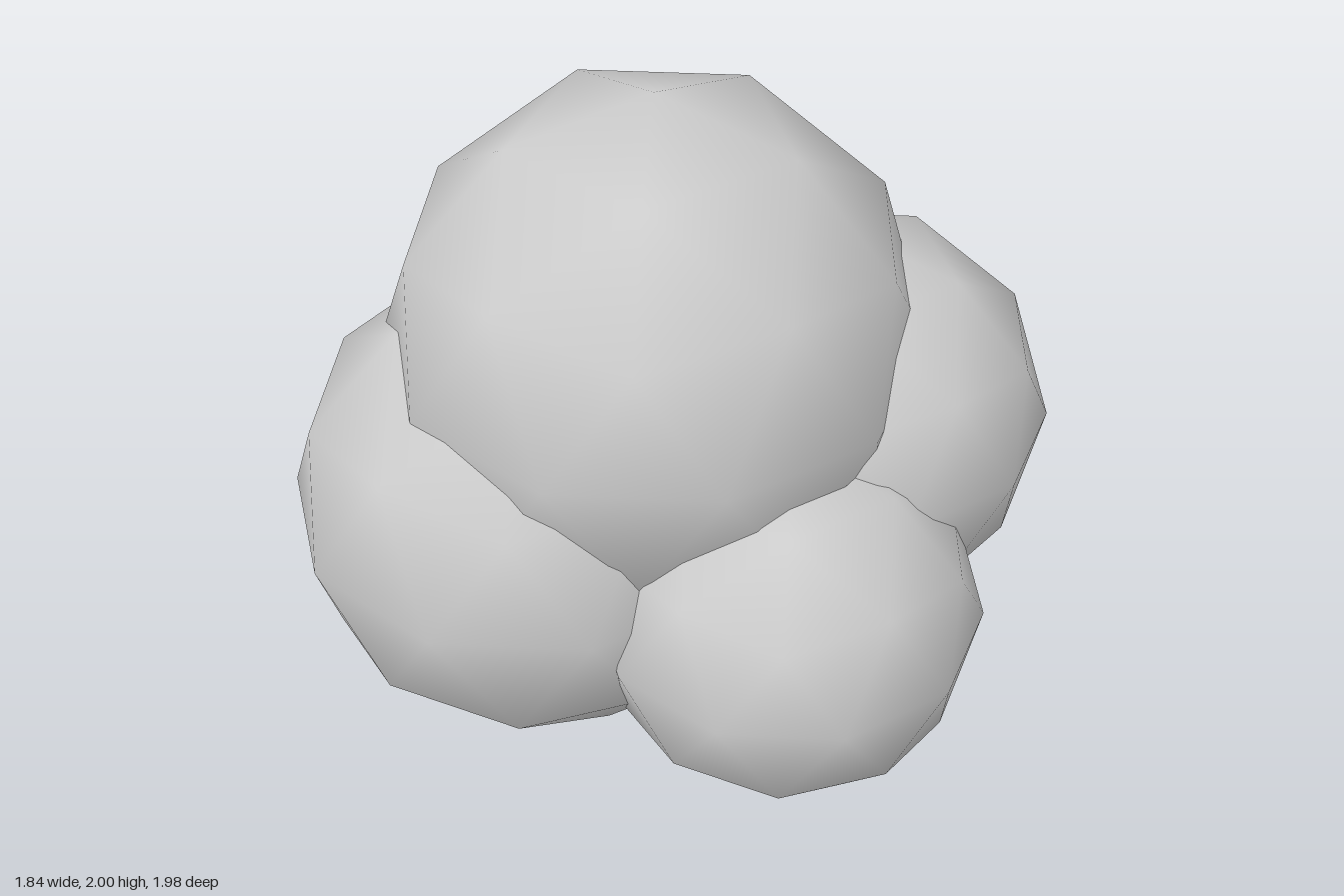
import * as THREE from 'three';

// Low-poly ball with a corner at each pole and an upper-ring corner facing +x
function ballGeometry(radius) {
  const geometry = new THREE.IcosahedronGeometry(radius, 1);
  const phi = (1 + Math.sqrt(5)) / 2;
  geometry.rotateZ(-Math.atan(1 / phi));
  return geometry;
}

export function createModel() {
  const group = new THREE.Group();
  group.name = 'ballCluster';
  const material = new THREE.MeshStandardMaterial({ color: 0xcccccc });

  // Overlapping balls: name, radius, centre
  const balls = [
    ['topBall', 0.742, [0, 1.258, -0.09]],
    ['backLeftBall', 0.692, [0.26, 0.697, -0.25]],
    ['backRightBall', 0.692, [-0.262, 0.78, -0.3]],
    ['frontLeftBall', 0.563, [0.37, 0.992, 0.287]],
    ['frontRightBall', 0.535, [-0.09, 0.655, 0.45]],
  ];

  for (const [name, radius, centre] of balls) {
    const ball = new THREE.Mesh(ballGeometry(radius), material);
    ball.name = name;
    ball.position.set(...centre);
    group.add(ball);
  }
  return group;
}
